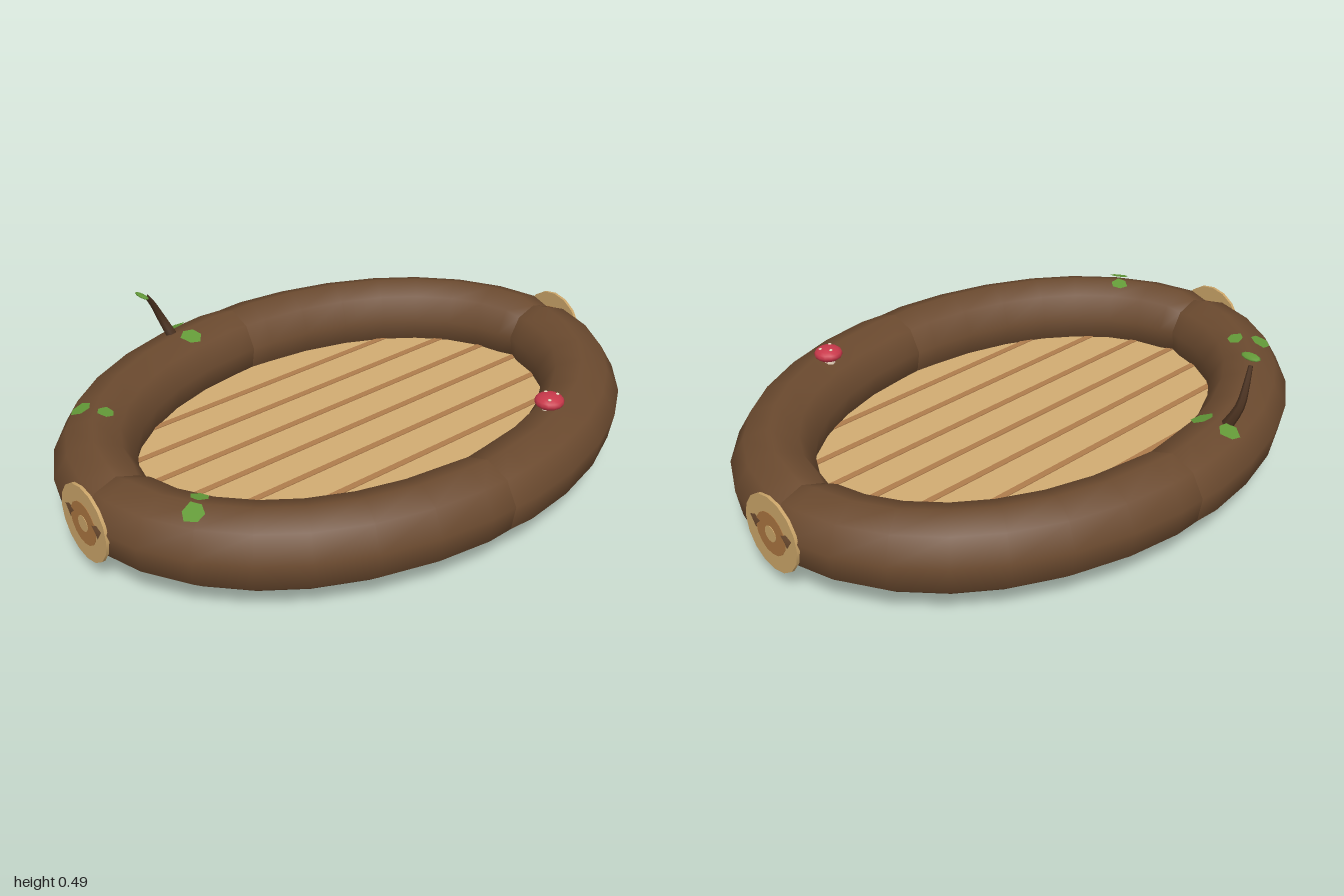
import * as THREE from 'three';

const RX = 0.637, RZ = 0.87, R = 0.13, CY = 0.18;   // ring centreline and tube size

const mat = (name, color, side = THREE.FrontSide) => {
  const m = new THREE.MeshStandardMaterial({ color, side });
  m.name = name;
  return m;
};

// Point and outward direction on the oval centreline
function oval(phi) {
  const c = Math.cos(phi), s = Math.sin(phi);
  return {
    p: new THREE.Vector3(RX * c, CY, RZ * s),
    n: new THREE.Vector3(RZ * c, 0, RX * s).normalize(),
  };
}

// A quarter of the log ring: nine-sided tube, pinched at the joints
function quarterLog(q) {
  const sides = 9, pos = [], idx = [];
  const steps = [0, 0.06, 0.18, 0.31, 0.44, 0.56, 0.69, 0.82, 0.94, 1];
  steps.forEach((t, i) => {
    const phi = (q + t) * Math.PI / 2;
    const { p, n } = oval(phi);
    const end = t === 0 || t === 1;
    const r = !end ? R : Math.abs(Math.sin(phi)) > 0.5 ? 0.112 : 0.125;
    for (let k = 0; k < sides; k++) {
      const a = Math.PI / 2 + k / sides * Math.PI * 2;
      pos.push(p.x + n.x * r * Math.cos(a), CY + r * Math.sin(a), p.z + n.z * r * Math.cos(a));
      if (i === 0) continue;
      const k2 = (k + 1) % sides, b = (i - 1) * sides, c = i * sides;
      idx.push(b + k, b + k2, c + k, b + k2, c + k2, c + k);
    }
  });
  const g = new THREE.BufferGeometry();
  g.setAttribute('position', new THREE.Float32BufferAttribute(pos, 3));
  g.setIndex(idx);
  g.computeVertexNormals();
  return g;
}

// Height and normal of the ring's surface above a point (x, z)
function onRing(x, z) {
  let best = null, d = 9;
  for (let i = 0; i < 360; i++) {
    const o = oval(i * Math.PI / 180);
    const e = Math.hypot(x - o.p.x, z - o.p.z);
    if (e < d) { d = e; best = o; }
  }
  const y = CY + Math.sqrt(Math.max(0, R * R - d * d));
  const point = new THREE.Vector3(x, y, z);
  return { point, normal: point.clone().sub(best.p).normalize() };
}

export function createModel() {
  const group = new THREE.Group();
  group.name = 'logRingRaft';
  const bark = mat('bark', 0x6b4a2f);
  const darkBark = mat('darkBark', 0x4b3220);
  const plank = mat('plank', 0xd0ab72);
  const seam = mat('plankSeam', 0xae7c4c);
  const cutWood = mat('cutWood', 0xcaa468);
  const heartWood = mat('heartWood', 0xa9743f);
  const leafGreen = mat('leafGreen', 0x639a38, THREE.DoubleSide);
  const capRed = mat('capRed', 0xc8384a);
  const cream = mat('cream', 0xecd9c0);

  const add = (name, geo, material, x = 0, y = 0, z = 0) => {
    const m = new THREE.Mesh(geo, material);
    m.name = name;
    m.position.set(x, y, z);
    group.add(m);
    return m;
  };

  // Ring of four curved logs
  for (let q = 0; q < 4; q++) add('ringLog', quarterLog(q), bark);

  // Shallow hull under the ring
  const hullProfile = [[0, 0.003], [1, 0.03], [1.1, 0.06], [1.1, 0.115]]
    .map(([x, y]) => new THREE.Vector2(x, y));
  add('hull', new THREE.LatheGeometry(hullProfile, 28), darkBark).scale.set(0.53, 1, 0.72);

  // Plank floor with seams
  const floor = add('floor', new THREE.CylinderGeometry(1, 1, 0.01, 32), plank, 0, 0.12, 0);
  floor.scale.set(0.56, 1, 0.8);
  for (let i = 0; i < 7; i++) {
    const x = -0.395 + i * 0.136;
    const length = 2 * 0.79 * Math.sqrt(1 - (x / 0.56) ** 2);
    add('plankSeam', new THREE.BoxGeometry(0.022, 0.006, length), seam, x, 0.125, 0);
  }

  // Cut-wood discs set into the front and back joints
  for (const s of [1, -1]) {
    [[0.124, 0.010, cutWood, 'endDisc'], [0.07, 0.013, heartWood, 'endHeart'],
      [0.026, 0.016, cutWood, 'endCore']].forEach(([r, h, m, name]) => {
      add(name, new THREE.CylinderGeometry(r, r, h, 16), m, 0, 0.182, s * 0.982)
        .rotation.x = Math.PI / 2;
    });
  }

  // Leaves lying on the ring
  const leafShape = new THREE.Shape([[0, 0.042], [-0.03, 0.016], [-0.032, -0.02], [0.004, -0.036],
    [0.03, -0.016], [0.028, 0.02]].map(([x, y]) => new THREE.Vector2(x, y)));
  const leafGeo = new THREE.ShapeGeometry(leafShape);
  const zAxis = new THREE.Vector3(0, 0, 1);
  [[-0.67, 0.225, 0.3], [-0.57, 0.22, 2.6], [-0.38, 0.76, 1.2], [-0.31, 0.715, 0.8],
    [0.26, 0.755, 2], [0.31, 0.81, 1]].forEach(([x, z, spin], i) => {
    const { point, normal } = onRing(x, z);
    const leaf = add('leaf', leafGeo, leafGreen);
    leaf.position.copy(point).addScaledVector(normal, 0.003);
    leaf.quaternion.setFromUnitVectors(zAxis, normal);
    leaf.rotateZ(spin);
    leaf.scale.setScalar(i === 3 || i === 4 ? 0.8 : 1);
  });

  // Tapered twig with a leaf at its tip
  const path = new THREE.CatmullRomCurve3([[-0.635, 0.29, 0.255], [-0.662, 0.36, 0.28],
    [-0.657, 0.42, 0.31], [-0.642, 0.47, 0.345]].map(p => new THREE.Vector3(...p)));
  const twigGeo = new THREE.TubeGeometry(path, 8, 0.02, 6);
  const tp = twigGeo.attributes.position, v = new THREE.Vector3();
  for (let i = 0; i < tp.count; i++) {
    const t = Math.floor(i / 7) / 8;
    const c = path.getPointAt(t);
    v.fromBufferAttribute(tp, i).sub(c).multiplyScalar(1 - 0.65 * t).add(c);
    tp.setXYZ(i, v.x, v.y, v.z);
  }
  add('twig', twigGeo, darkBark);
  const tip = add('twigLeaf', new THREE.SphereGeometry(1, 10, 6), leafGreen, -0.622, 0.483, 0.37);
  tip.scale.set(0.036, 0.006, 0.016);
  tip.rotation.x = -0.35;

  // Spotted mushroom
  const top = onRing(0.54, -0.365).point.y;
  add('mushroomStem', new THREE.CylinderGeometry(0.018, 0.022, 0.04, 8), cream, 0.54, top - 0.005, -0.365);
  add('mushroomCap', new THREE.SphereGeometry(1, 14, 8), capRed, 0.54, 0.325, -0.365)
    .scale.set(0.047, 0.024, 0.047);
  [[0.02, 0.022], [-0.022, -0.005], [0.01, -0.024]].forEach(([x, z]) => {
    const y = 0.325 + 0.024 * Math.sqrt(1 - (x * x + z * z) / 0.047 ** 2);
    add('mushroomSpot', new THREE.SphereGeometry(1, 8, 5), cream, 0.54 + x, y, -0.365 + z)
      .scale.set(0.006, 0.003, 0.006);
  });

  return group;
}
